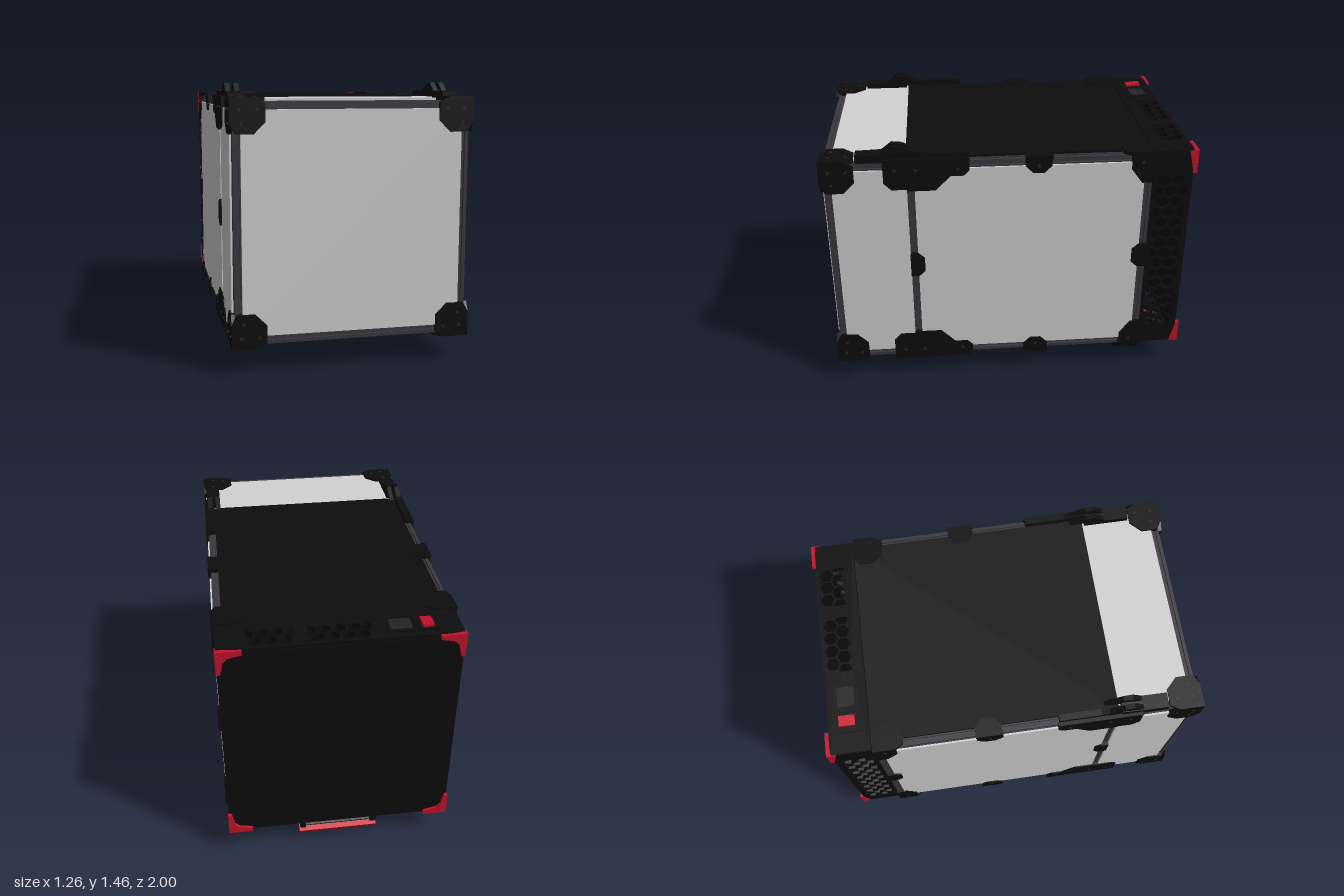
import * as THREE from 'three';

const mat = (name, color) => {
  const m = new THREE.MeshStandardMaterial({ color });
  m.name = name;
  return m;
};

export function createModel() {
  const black = mat('black plastic', 0x0d0d0d);
  const metal = mat('dark aluminium', 0x39383e);
  const clear = mat('pale panel', 0xd2d2d2);
  const red = mat('red plastic', 0xc4122a);
  const steel = mat('dark steel', 0x242428);
  const root = new THREE.Group();
  root.name = 'enclosedPrinter';

  const add = (name, geo, m, x = 0, y = 0, z = 0, parent = root) => {
    const mesh = new THREE.Mesh(geo, m);
    mesh.name = name;
    mesh.position.set(x, y, z);
    parent.add(mesh);
    return mesh;
  };
  const box = (name, m, x0, x1, y0, y1, z0, z1) => add(name,
    new THREE.BoxGeometry(x1 - x0, y1 - y0, z1 - z0), m, (x0 + x1) / 2, (y0 + y1) / 2, (z0 + z1) / 2);
  const vecs = pts => pts.map(p => new THREE.Vector2(p[0], p[1]));

  // Outline pushed along one axis: 'x' takes (z, y), 'y' takes (x, z), 'z' takes (x, y)
  const slab = (name, m, axis, pts, from, to, holes = []) => {
    const shape = new THREE.Shape(vecs(pts));
    holes.forEach(h => shape.holes.push(new THREE.Path(vecs(h))));
    const lo = Math.min(from, to), hi = Math.max(from, to);
    const geo = new THREE.ExtrudeGeometry(shape, { depth: hi - lo, bevelEnabled: false });
    if (axis === 'x') return add(name, geo.rotateY(-Math.PI / 2), m, hi, 0, 0);
    if (axis === 'y') return add(name, geo.rotateX(Math.PI / 2), m, 0, hi, 0);
    return add(name, geo, m, 0, 0, lo);
  };
  const rect = (a, b, c, d) => [[a, c], [b, c], [b, d], [a, d]];
  const screw = (axis, x, y, z) => {
    const s = add('screw', new THREE.CylinderGeometry(0.009, 0.009, 0.006, 12), steel, x, y, z);
    if (axis === 'x') s.rotation.z = Math.PI / 2;
    if (axis === 'z') s.rotation.x = Math.PI / 2;
  };

  // Slotted frame bars
  const h = 0.025, s = 0.007, d = 0.013;
  const bar = (axis, a, b, from, to) => {
    const pts = [];
    for (let i = 0; i < 4; i++) {
      const c = Math.round(Math.cos(i * Math.PI / 2)), n = Math.round(Math.sin(i * Math.PI / 2));
      for (const [u, v] of [[-h, -h], [-s, -h], [-s, d - h], [s, d - h], [s, -h]])
        pts.push([a + u * c - v * n, b + u * n + v * c]);
    }
    slab('frameBar', metal, axis, pts, from, to);
  };
  const X = 0.585, Y0 = 0.175, Y1 = 1.345;
  for (const sx of [-1, 1]) {
    for (const z of [0.955, 0.53, -0.735]) bar('y', sx * X, z, Y0 - h, Y1 + h);
    for (const y of [Y0, Y1]) bar('z', sx * X, y, -0.71, 0.93);
  }
  for (const y of [Y0, Y1]) for (const z of [0.955, -0.735]) bar('x', z, y, -0.56, 0.56);

  // Panels lying on the frame
  box('frontPanel', clear, -0.57, 0.57, 0.195, 1.33, 0.978, 0.99);
  box('topFrontPanel', clear, -0.57, 0.57, 1.368, 1.382, 0.55, 0.935);
  box('topPanel', black, -0.57, 0.57, 1.368, 1.384, -0.76, 0.55);
  box('bottomPanel', clear, -0.57, 0.57, 0.138, 0.152, -0.72, 0.94);
  box('deckPanel', black, -0.6, 0.6, 0.16, 1.36, -0.765, -0.758);
  for (const sx of [-1, 1]) {
    const [a, b] = sx > 0 ? [0.608, 0.62] : [-0.62, -0.608];
    box('sideFrontPanel', clear, a, b, 0.195, 1.33, 0.55, 0.94);
    box('sidePanel', clear, a, b, 0.195, 1.33, -0.715, 0.51);
  }

  // Corner brackets and clips, mirrored left/right and top/bottom
  const corner = [[0, 0], [0.13, 0], [0.18, 0.03], [0.18, 0.12], [0.12, 0.18], [0.03, 0.18], [0, 0.13]];
  const rear = [[0, 0], [0.12, 0], [0.12, 0.1], [0.06, 0.18], [0, 0.18]];
  const hingeFront = [[0, 0], [0.12, 0], [0.12, 0.13], [0.08, 0.17], [0, 0.17]];
  const hingeRear = [[0, 0], [0.33, 0], [0.33, 0.07], [0.3, 0.1], [0.23, 0.1], [0.15, 0.18], [0, 0.18]];
  const clip = [[0, 0], [0.14, 0], [0.14, 0.06], [0.1, 0.1], [0.04, 0.1], [0, 0.06]];
  for (const sx of [-1, 1]) for (const top of [true, false]) {
    const px = v => sx * (0.627 - v), py = v => top ? 1.39 - v : 0.13 + v;
    const side = (name, pts, fz) =>
      slab(name, black, 'x', pts.map(p => [fz(p[0]), py(p[1])]), px(0), px(0.022));
    const flat = (name, pts, fz) =>
      slab(name, black, 'y', pts.map(p => [px(p[1]), fz(p[0])]), py(0), py(0.022));
    const fwd = v => 1 - v, back = v => -0.762 + v;
    slab('frontCorner', black, 'z', corner.map(p => [px(p[0]), py(p[1])]), 0.978, 1);
    side('frontCornerSide', corner, fwd);
    flat('frontCornerFlat', corner, fwd);
    side('rearCornerSide', rear, back);
    flat('rearCornerFlat', corner.map(p => [p[0] * 0.9, p[1] * 0.9]), back);
    side('hingeBracketFront', hingeFront, v => 0.55 + v);
    side('hingeBracketRear', hingeRear, v => 0.55 - v);
    flat('hingeBracketFlat', rect(0, 0.42, 0, 0.06), v => 0.67 - v);
    side('sideClip', clip, v => -0.215 + v);
    flat('edgeClip', clip, v => -0.22 + v);
    for (const [u, v] of [[0.05, 0.06], [0.14, 0.06], [0.06, 0.13]]) {
      screw('z', px(u), py(v), 1);
      screw('x', px(0), py(v), 1 - u);
      screw('y', px(v), py(0), 1 - u);
    }
    for (const z of [0.61, 0.5, 0.28, -0.145, -0.7]) screw('x', px(0), py(0.06), z);
  }
  for (const sx of [-1, 1]) {
    for (const [z, dir] of [[0.552, -1], [-0.755, 1]])
      slab('middleClip', black, 'x', [[0, 0.69], [0.045, 0.69], [0.078, 0.72], [0.078, 0.8], [0.045, 0.83], [0, 0.83]]
        .map(p => [z + dir * p[0], p[1]]), sx * 0.606, sx * 0.63);

    // Raised hinge on the lid
    slab('hingeArm', black, 'x', [[0.81, 1.37], [0.81, 1.41], [0.67, 1.415], [0.55, 1.43], [0.45, 1.412], [0.225, 1.412], [0.225, 1.37]],
      sx * 0.57, sx * 0.605);
    slab('hingeLeaf', black, 'x', [[0.81, 1.37], [0.81, 1.41], [0.67, 1.415], [0.56, 1.425], [0.56, 1.37]], sx * 0.53, sx * 0.61);
    for (const x of [0.53, 0.578])
      slab('hingeKnuckle', black, 'x', [[0.68, 1.41], [0.62, 1.457], [0.57, 1.452], [0.47, 1.41]], sx * x, sx * (x + 0.027));
  }

  // Honeycomb holes, clamped to a rectangle in (u, v)
  const honeycomb = (u0, u1, v0, v1, rowsFirst = 0) => {
    const out = [], P = 0.075, R = 0.038, mid = (u0 + u1) / 2;
    const n = Math.floor((u1 - u0) / P), clamp = THREE.MathUtils.clamp;
    for (let r = 0, v = v0 + R; v + R <= v1 + 0.001; r++, v += P * 0.866) {
      const k = n + ((r + rowsFirst) % 2);
      for (let i = 0; i < k; i++) {
        const u = mid + (i - (k - 1) / 2) * P, hex = [];
        for (let a = 0; a < 6; a++) {
          const t = (a + 0.5) * Math.PI / 3;
          hex.push([clamp(u + R * Math.cos(t), u0, u1), v + R * Math.sin(t)]);
        }
        out.push(hex);
      }
    }
    return out;
  };

  // Rear electronics bay: four grille walls, back panel, red corners
  for (const sx of [-1, 1]) slab('sideGrille', black, 'x', rect(-0.98, -0.765, 0.155, 1.378), sx * 0.59, sx * 0.612,
    honeycomb(-0.952, -0.782, 0.26, 1.27));
  for (const [y0, y1] of [[1.358, 1.384], [0.15, 0.172]])
    slab('flatGrille', black, 'y', rect(-0.61, 0.61, -0.98, -0.765), y0, y1,
      [...honeycomb(-0.16, 0.16, -0.965, -0.77), ...honeycomb(0.23, 0.46, -0.965, -0.77)]);
  box('backPanel', black, -0.6, 0.6, 0.165, 1.368, -0.985, -0.972);
  for (const sx of [-1, 1]) for (const top of [true, false]) {
    const px = v => sx * (0.615 - v), py = v => top ? 1.382 - v : 0.152 + v;
    slab('redCorner', red, 'z', [[0, 0], [0.13, 0], [0.13, 0.02], [0.06, 0.035], [0.035, 0.06], [0.02, 0.13], [0, 0.13]]
      .map(p => [px(p[0]), py(p[1])]), -1, -0.978);
    const fin = [[0, 0], [0.05, 0], [0.018, 0.13], [0, 0.13]];
    slab('redCornerSide', red, 'x', fin.map(p => [-1 + p[0], py(p[1])]), px(-0.001), px(0.018));
    slab('redCornerFlat', red, 'y', fin.map(p => [px(p[1]), -1 + p[0] * 0.5]), py(-0.004), py(0.018));
  }

  // Power inlet with red switch
  box('powerInlet', black, -0.5, -0.24, 0.9, 1.36, -0.92, -0.785);
  box('inletPlate', black, -0.5, -0.23, 1.38, 1.39, -0.94, -0.8);
  box('inletSocket', steel, -0.36, -0.25, 1.388, 1.392, -0.92, -0.83);
  box('powerSwitch', red, -0.467, -0.41, 1.385, 1.402, -0.92, -0.835).rotation.x = 0.1;

  // Tilted control panel under the rear bay
  const panel = new THREE.Group();
  panel.name = 'controlPanel';
  panel.position.set(0, 0.1, -0.865);
  panel.rotation.x = -0.41;
  root.add(panel);
  const part = (name, m, w, t, l, x, y, z) => add(name, new THREE.BoxGeometry(w, t, l), m, x, y, z, panel);
  part('controlFascia', red, 0.44, 0.03, 0.21, 0, 0, 0);
  part('controlBoard', steel, 0.38, 0.012, 0.15, 0, 0.02, 0);
  part('screen', black, 0.165, 0.006, 0.1, -0.063, -0.016, 0.03);
  part('button', black, 0.03, 0.01, 0.03, 0.18, -0.016, -0.06);
  for (let i = 0; i < 9; i++)
    add('ventDimple', new THREE.CylinderGeometry(0.014, 0.014, 0.006, 6), black,
      -0.2 + (i % 2) * 0.034 + (i > 5 ? (i - 5) * 0.04 : 0), -0.016, i > 5 ? -0.075 : 0.08 - Math.floor(i / 2) * 0.045, panel);
  add('knob', new THREE.CylinderGeometry(0.045, 0.052, 0.06, 24), black, 0.1, -0.055, 0, panel);
  add('knobCap', new THREE.CylinderGeometry(0.052, 0.038, 0.02, 24), black, 0.1, -0.03, 0, panel);
  for (const x of [-0.2, 0.2]) slab('panelSupport', black, 'x',
    [[-0.98, 0.16], [-0.98, 0.12], [-0.955, 0.085], [-0.925, 0.1], [-0.93, 0.16]], x - 0.015, x + 0.015);

  // Carry handle on one lower edge, with cut-outs
  slab('carryHandle', black, 'x',
    [[0.11, 0.137], [0.11, 0.115], [0.07, 0.112], [-0.035, 0.005], [-0.285, 0.005], [-0.395, 0.112], [-0.44, 0.115], [-0.44, 0.137],
      [-0.375, 0.137], [-0.27, 0.052], [-0.06, 0.052], [0.045, 0.137]], -0.53, -0.48, [
      [[0.055, 0.11], [0.04, 0.118], [-0.055, 0.04], [-0.035, 0.022]],
      [[-0.38, 0.11], [-0.365, 0.118], [-0.275, 0.04], [-0.285, 0.022]],
      rect(-0.155, -0.07, 0.018, 0.04), rect(-0.255, -0.17, 0.018, 0.04)]);
  return root;
}
